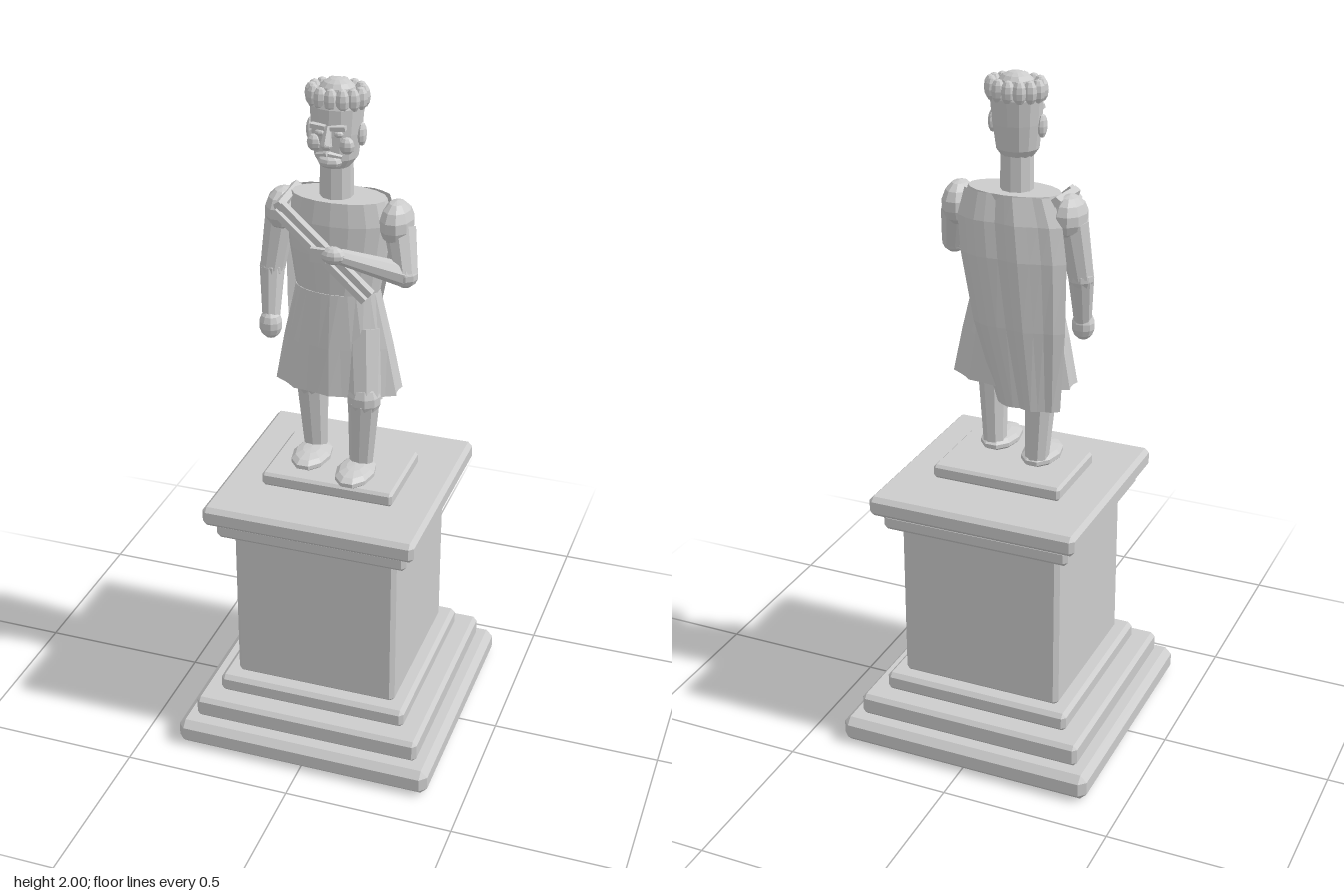
import * as THREE from 'three';
import { ConvexGeometry } from 'three/addons/geometries/ConvexGeometry.js';

const V = (p) => new THREE.Vector3(...p);

export function createModel() {
  const root = new THREE.Group();
  root.name = 'statueOnPedestal';
  const stone = new THREE.MeshStandardMaterial({ color: 0xcccccc, flatShading: true });
  const cloth = new THREE.MeshStandardMaterial({ color: 0xcccccc, flatShading: true, side: THREE.DoubleSide });

  const add = (parent, name, geometry, material = stone) => {
    const mesh = new THREE.Mesh(geometry, material);
    mesh.name = name;
    parent.add(mesh);
    return mesh;
  };
  const group = (name) => {
    const g = new THREE.Group();
    g.name = name;
    root.add(g);
    return g;
  };

  // Box with every edge chamfered by c
  const slab = (parent, name, y0, y1, hx, hz, c, z = 0) => {
    const hy = (y1 - y0) / 2, pts = [];
    for (const sx of [-1, 1]) for (const sy of [-1, 1]) for (const sz of [-1, 1]) {
      for (const [a, b, d] of [[0, c, c], [c, 0, c], [c, c, 0]]) {
        pts.push(new THREE.Vector3(sx * (hx - a), sy * (hy - b), sz * (hz - d)));
      }
    }
    add(parent, name, new ConvexGeometry(pts)).position.set(0, (y0 + y1) / 2, z);
  };

  const ball = (parent, name, pos, size, w = 10, h = 7) => {
    const mesh = add(parent, name, new THREE.SphereGeometry(1, w, h));
    mesh.position.set(...pos);
    mesh.scale.set(...size);
    return mesh;
  };

  // Tapered limb from a to b
  const limb = (parent, name, a, b, ra, rb, sides = 9) => {
    const p = V(a), q = V(b), dir = q.clone().sub(p);
    const mesh = add(parent, name, new THREE.CylinderGeometry(rb, ra, dir.length(), sides));
    mesh.position.copy(p).add(q).multiplyScalar(0.5);
    mesh.quaternion.setFromUnitVectors(new THREE.Vector3(0, 1, 0), dir.normalize());
  };

  // Closed loft through elliptical rings [y, cx, cz, rx, rz, fold]
  const loft = (parent, name, rings, sides, folds = 0) => {
    const pos = [], idx = [];
    for (const [y, cx, cz, rx, rz, fold = 0] of rings) {
      for (let i = 0; i < sides; i++) {
        const a = (i / sides) * Math.PI * 2, k = 1 + fold * Math.cos(a * folds);
        pos.push(cx + Math.sin(a) * rx * k, y, cz + Math.cos(a) * rz * k);
      }
    }
    for (const [y, cx, cz] of [rings[0], rings[rings.length - 1]]) pos.push(cx, y, cz);
    const bottom = rings.length * sides, last = bottom - sides;
    for (let i = 0; i < sides; i++) {
      const j = (i + 1) % sides;
      for (let r = 0; r < rings.length - 1; r++) {
        const o = r * sides;
        idx.push(o + i, o + j, o + sides + j, o + i, o + sides + j, o + sides + i);
      }
      idx.push(bottom, j, i, bottom + 1, last + i, last + j);
    }
    const g = new THREE.BufferGeometry();
    g.setAttribute('position', new THREE.Float32BufferAttribute(pos, 3));
    g.setIndex(idx);
    g.computeVertexNormals();
    return add(parent, name, g);
  };

  // Pedestal
  const pedestal = group('pedestal');
  slab(pedestal, 'baseStepLower', 0, 0.08, 0.39, 0.39, 0.02);
  slab(pedestal, 'baseStepMiddle', 0.08, 0.148, 0.345, 0.345, 0.012);
  slab(pedestal, 'baseStepUpper', 0.148, 0.205, 0.287, 0.287, 0.012);
  slab(pedestal, 'shaft', 0.2, 0.7, 0.245, 0.245, 0.013);
  slab(pedestal, 'corniceLower', 0.693, 0.745, 0.285, 0.285, 0.012);
  slab(pedestal, 'corniceUpper', 0.745, 0.805, 0.315, 0.315, 0.013);
  slab(pedestal, 'plinth', 0.805, 0.847, 0.197, 0.134, 0.008, 0.005);

  // Legs and feet
  const legs = group('legs');
  limb(legs, 'rightThigh', [-0.08, 1.3, -0.01], [-0.09, 1.1, -0.005], 0.06, 0.05);
  limb(legs, 'rightShin', [-0.09, 1.12, -0.005], [-0.083, 0.87, -0.018], 0.048, 0.034);
  ball(legs, 'rightKnee', [-0.09, 1.1, 0], [0.048, 0.05, 0.045]);
  ball(legs, 'rightFoot', [-0.08, 0.872, 0.03], [0.057, 0.026, 0.09]);
  limb(legs, 'leftThigh', [0.07, 1.3, 0.01], [0.09, 1.1, 0.06], 0.06, 0.05);
  limb(legs, 'leftShin', [0.09, 1.1, 0.065], [0.074, 0.87, 0.04], 0.046, 0.034);
  ball(legs, 'leftKnee', [0.09, 1.105, 0.067], [0.05, 0.055, 0.045]);
  ball(legs, 'leftFoot', [0.072, 0.872, 0.085], [0.057, 0.026, 0.09]);

  // Tunic: pleated skirt and torso
  const tunic = group('tunic');
  loft(tunic, 'skirt', [
    [1.11, -0.005, 0.005, 0.18, 0.09, 0.05],
    [1.25, -0.008, 0.002, 0.155, 0.083, 0.035],
    [1.41, -0.01, 0, 0.122, 0.072, 0],
  ], 30, 10);
  loft(tunic, 'torso', [
    [1.4, -0.01, 0, 0.12, 0.07],
    [1.52, -0.01, -0.005, 0.14, 0.078],
    [1.61, -0.01, -0.01, 0.152, 0.08],
    [1.675, -0.01, -0.012, 0.135, 0.072],
  ], 18);

  // Sash of two bands across the chest
  const sash = group('sash');
  for (const [i, offset] of [-0.016, 0.014].entries()) {
    const a = V([-0.152 + offset * 0.6, 1.655 + offset * 0.7, 0.082]);
    const b = V([0.105 + offset * 0.6, 1.425 + offset * 0.7, 0.084]);
    const band = add(sash, i ? 'upperBand' : 'lowerBand', new THREE.BoxGeometry(a.distanceTo(b), 0.018, 0.024));
    band.position.copy(a).add(b).multiplyScalar(0.5);
    band.rotation.z = Math.atan2(b.y - a.y, b.x - a.x);
  }
  limb(sash, 'shoulderStrap', [-0.15, 1.655, 0.085], [-0.15, 1.665, -0.06], 0.016, 0.016, 5);

  // Cape hanging from both shoulders and gathering towards the right hem
  const rows = [ // y, left x, right x, z at edges, z in middle
    [1.675, 0.12, -0.14, -0.055, -0.085],
    [1.6, 0.135, -0.175, -0.07, -0.105],
    [1.5, 0.125, -0.19, -0.075, -0.115],
    [1.3, 0.085, -0.19, -0.08, -0.113],
    [1.06, 0.015, -0.175, -0.072, -0.1],
  ];
  const cape = new THREE.PlaneGeometry(1, 1, 10, rows.length - 1);
  const cp = cape.attributes.position;
  for (let i = 0; i < cp.count; i++) {
    const [y, x0, x1, ze, zm] = rows[Math.floor(i / 11)], t = (i % 11) / 10;
    const bulge = Math.sin(Math.PI * t);
    const fold = 0.006 * bulge * Math.cos(t * Math.PI * 5);
    cp.setXYZ(i, x0 + (x1 - x0) * t, y, ze + (zm - ze) * Math.sqrt(Math.max(bulge, 0)) + fold);
  }
  cape.computeVertexNormals();
  add(root, 'cape', cape, cloth);

  // Right arm, hanging
  const rightArm = group('rightArm');
  ball(rightArm, 'shoulder', [-0.172, 1.615, -0.01], [0.05, 0.062, 0.065]);
  limb(rightArm, 'upperArm', [-0.18, 1.6, -0.01], [-0.202, 1.44, 0.005], 0.045, 0.036);
  ball(rightArm, 'elbow', [-0.202, 1.44, 0.005], [0.037, 0.038, 0.037]);
  limb(rightArm, 'forearm', [-0.202, 1.44, 0.005], [-0.195, 1.3, 0.04], 0.036, 0.025);
  ball(rightArm, 'hand', [-0.195, 1.283, 0.045], [0.034, 0.043, 0.032]);

  // Left arm, bent across the chest
  const leftArm = group('leftArm');
  ball(leftArm, 'shoulder', [0.155, 1.615, -0.01], [0.048, 0.064, 0.066]);
  limb(leftArm, 'upperArm', [0.165, 1.6, -0.01], [0.195, 1.485, 0.035], 0.045, 0.036);
  ball(leftArm, 'elbow', [0.195, 1.485, 0.035], [0.036, 0.036, 0.036]);
  limb(leftArm, 'forearm', [0.195, 1.485, 0.035], [0.03, 1.545, 0.105], 0.035, 0.022);
  ball(leftArm, 'hand', [0.015, 1.548, 0.113], [0.036, 0.025, 0.026]);
  add(leftArm, 'fingers', new THREE.BoxGeometry(0.045, 0.04, 0.015)).position.set(-0.025, 1.546, 0.118);

  // Neck and head
  const head = group('head');
  const cx = -0.016;
  limb(head, 'neck', [cx, 1.65, -0.008], [cx, 1.79, -0.008], 0.047, 0.045, 10);
  loft(head, 'skull', [
    [1.765, cx, -0.003, 0.042, 0.045],
    [1.79, cx, -0.005, 0.06, 0.058],
    [1.86, cx, -0.008, 0.069, 0.065],
    [1.93, cx, -0.012, 0.074, 0.067],
    [1.965, cx, -0.014, 0.06, 0.055],
  ], 14);
  for (const s of [-1, 1]) {
    const side = s < 0 ? 'right' : 'left';
    ball(head, side + 'Ear', [cx + s * 0.072, 1.855, -0.005], [0.013, 0.033, 0.02], 8, 6);
    ball(head, side + 'Cheek', [cx + s * 0.045, 1.835, 0.042], [0.022, 0.024, 0.018], 8, 6);
    ball(head, side + 'Eye', [cx + s * 0.027, 1.868, 0.054], [0.014, 0.009, 0.009], 8, 6);
    const brow = add(head, side + 'Brow', new THREE.BoxGeometry(0.042, 0.012, 0.018));
    brow.position.set(cx + s * 0.028, 1.887, 0.06);
    brow.rotation.z = s * 0.1;
    limb(head, side + 'Moustache', [cx, 1.815, 0.065], [cx + s * 0.035, 1.806, 0.052], 0.009, 0.006, 6);
  }
  limb(head, 'noseBridge', [cx, 1.89, 0.058], [cx, 1.842, 0.078], 0.008, 0.016, 6);
  ball(head, 'noseTip', [cx, 1.842, 0.076], [0.017, 0.012, 0.014], 8, 6);
  ball(head, 'chin', [cx, 1.788, 0.048], [0.035, 0.018, 0.022], 8, 6);

  // Hair: domed crown ringed with curls
  const hair = group('hair');
  ball(hair, 'crown', [cx, 1.965, -0.015], [0.052, 0.035, 0.045], 12, 8);
  const curls = 14;
  for (let i = 0; i < curls; i++) {
    const a = (i / curls) * Math.PI * 2;
    ball(hair, 'curl' + (i + 1), [cx + Math.sin(a) * 0.07, 1.953, -0.015 + Math.cos(a) * 0.055],
      [0.02, 0.033, 0.019], 8, 6);
  }
  return root;
}
